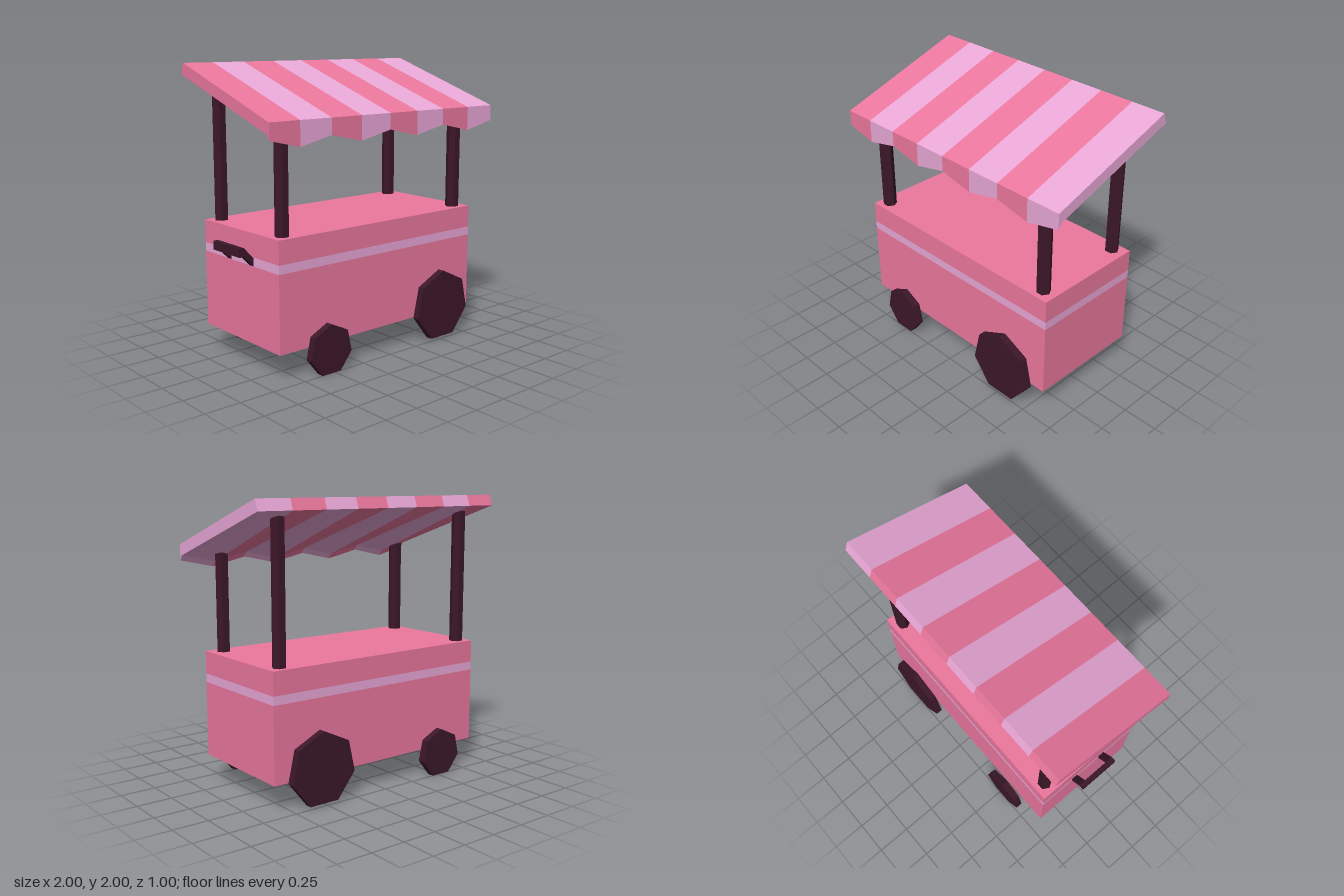
import * as THREE from 'three';

const paint = (color) => new THREE.MeshStandardMaterial({ color, flatShading: true });

export function createModel() {
  const pink = paint(0xec789e), lilac = paint(0xeaa8d8), dark = paint(0x3c1728);
  const model = new THREE.Group();
  const add = (name, geometry, material, x = 0, y = 0, z = 0) => {
    const mesh = new THREE.Mesh(geometry, material);
    mesh.name = name;
    mesh.position.set(x, y, z);
    model.add(mesh);
    return mesh;
  };

  // Cart body in three stacked layers, the middle one being the trim band
  const layer = (name, y0, y1, material) =>
    add(name, new THREE.BoxGeometry(1.755, y1 - y0, 0.848), material, -0.013, (y0 + y1) / 2, 0);
  layer('lowerBody', 0.187, 0.715, pink);
  layer('trimBand', 0.715, 0.775, lilac);
  layer('upperBody', 0.775, 0.935, pink);

  // Seven-sided wheels: small pair and large pair
  for (const [name, x, y, r] of [['smallWheel', -0.528, 0.159, 0.176], ['largeWheel', 0.525, 0.251, 0.258]]) {
    for (const side of [1, -1]) {
      const wheel = add(name, new THREE.CylinderGeometry(r, r, 0.05, 7), dark, x, y, side * 0.475);
      wheel.rotation.x = -Math.PI / 2;
    }
  }

  // Six-sided posts, taller at the back
  for (const x of [-0.805, 0.767]) {
    for (const [name, z, top] of [['frontPost', 0.343, 1.65], ['backPost', -0.347, 1.905]]) {
      const height = top - 0.92;
      const geometry = new THREE.CylinderGeometry(0.049, 0.049, height, 6).rotateY(Math.PI / 6);
      add(name, geometry, dark, x, 0.92 + height / 2, z);
    }
  }

  // Push handle: a crossbar on two slanted arms
  const extrudeZ = (points, depth) =>
    new THREE.ExtrudeGeometry(new THREE.Shape(points.map((p) => new THREE.Vector2(...p))),
      { depth, bevelEnabled: false }).translate(0, 0, -depth / 2);
  add('handleBar', extrudeZ([[-1, 0.79], [-0.965, 0.79], [-0.965, 0.85], [-1, 0.85]], 0.3), dark);
  const arm = [[-0.965, 0.79], [-0.885, 0.71], [-0.885, 0.765], [-0.965, 0.85]];
  for (const side of [1, -1]) add('handleArm', extrudeZ(arm, 0.045), dark, 0, 0, side * 0.1275);

  // Awning cross-section [z, y]; drop lowers the front valance
  const section = (x, drop) => [
    [0.493, 1.677], [-0.463, 2.0], [-0.49, 1.925], [0.47, 1.603 - drop], [0.493, 1.567 - drop],
  ].map(([z, y]) => [x, y, z]);

  // Awning stripes, with the valance zigzagging from stripe to stripe
  const edges = [-1, -0.767, -0.518, -0.264, -0.012, 0.24, 0.492, 0.748, 1];
  for (let i = 0; i < 8; i++) {
    const L = section(edges[i], i % 2 ? 0.055 : 0);
    const R = section(edges[i + 1], i % 2 ? 0 : 0.055);
    const corners = [];
    for (let a = 0; a < 5; a++) {
      const b = (a + 1) % 5;
      corners.push(L[a], R[a], R[b], L[a], R[b], L[b]);
    }
    // Close the two outer ends
    for (const [a, b] of [[4, 0], [0, 1], [1, 2]]) {
      if (i === 0) corners.push(L[3], L[a], L[b]);
      if (i === 7) corners.push(R[3], R[b], R[a]);
    }
    const geometry = new THREE.BufferGeometry();
    geometry.setAttribute('position', new THREE.Float32BufferAttribute(corners.flat(), 3));
    geometry.computeVertexNormals();
    add('awningStripe', geometry, i % 2 ? lilac : pink);
  }

  return model;
}
